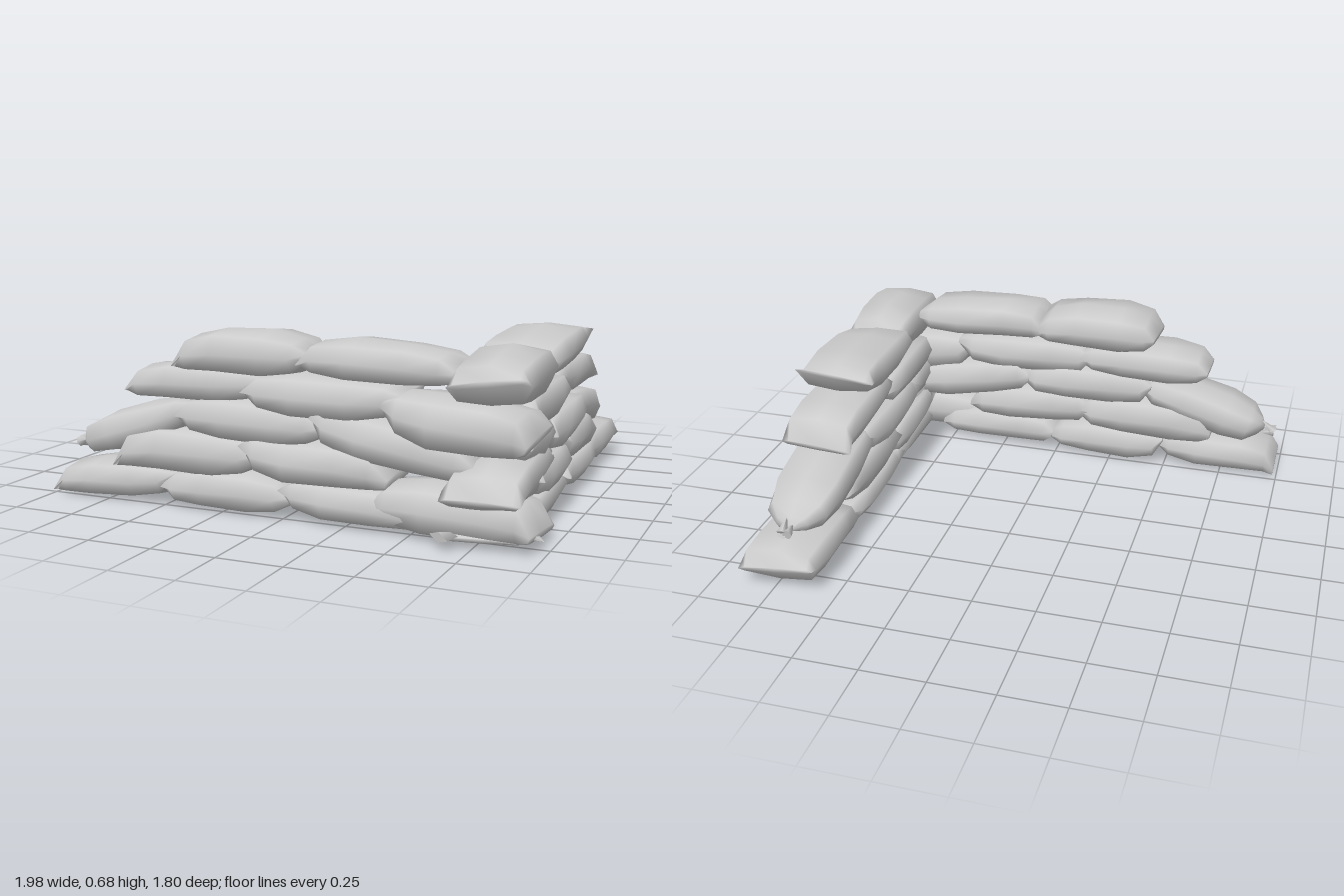
import * as THREE from 'three';

const SIDES = 8;
const material = new THREE.MeshStandardMaterial({ color: 0xcccccc, side: THREE.DoubleSide });

// profiles of half a bag: [distance from end, height, width]
const SEAM = [[0, 0.12, 0.98], [0.08, 0.8, 0.97], [0.3, 1, 1]];
const TUCKED = [[0, 0.24, 0.78], [0.11, 0.78, 0.94], [0.34, 1, 1]];
const TIED = [[0, 0.12, 0.1], [0.04, 0.45, 0.45], [0.13, 0.82, 0.84], [0.32, 1, 1]];

const power = (v, p) => Math.sign(v) * Math.abs(v) ** p;

// stuffed sack lofted along x; seamA / seamB lift the ends by a fraction of the height
function bagGeometry(length, width, height, seamA, seamB, tied, seed) {
  const rings = [];
  (tied ? TIED : SEAM).forEach(([t, h, w]) => rings.push([t - 0.5, h, w, seamA * (1 - h)]));
  [...TUCKED].reverse().forEach(([t, h, w]) => rings.push([0.5 - t, h, w, seamB * (1 - h)]));
  const pos = [], index = [];
  rings.forEach(([x, h, w, lift], i) => {
    // ends twist a little, the belly is lumpy
    const twist = 0.16 * (1 - h) * Math.sin(seed * 4.1 + (x > 0 ? 2 : 0));
    for (let j = 0; j < SIDES; j++) {
      const a = (j / SIDES) * Math.PI * 2;
      const lump = 1 + 0.06 * Math.sin(seed * 2.3 + i * 1.9 + j * 1.7);
      const z = power(Math.sin(a), 0.6) * w * 0.5 * width * (1 + (lump - 1) * 0.5);
      const y = (power(Math.cos(a), 0.65) * h * 0.5 * lump + lift) * height;
      pos.push(x * length, y + z * twist, z);
    }
  });
  for (let i = 0; i < rings.length - 1; i++) {
    for (let j = 0; j < SIDES; j++) {
      const a = i * SIDES + j, b = i * SIDES + (j + 1) % SIDES;
      index.push(a, b, a + SIDES, b, b + SIDES, a + SIDES);
    }
  }
  // close both ends
  const last = (rings.length - 1) * SIDES;
  for (let j = 1; j < SIDES - 1; j++) {
    index.push(0, j + 1, j, last, last + j, last + j + 1);
  }
  const g = new THREE.BufferGeometry();
  g.setAttribute('position', new THREE.Float32BufferAttribute(pos, 3));
  g.setIndex(index);
  g.computeVertexNormals();
  return g;
}

// frilled scrap of cloth beyond a tied neck
function addKnot(bag, length) {
  for (let i = 0; i < 3; i++) {
    const knot = new THREE.Mesh(new THREE.ConeGeometry(0.022, 0.07, 5), material);
    knot.name = 'knot';
    knot.position.set(-length / 2 - 0.012, (i - 1) * 0.016, (i % 2) * 0.02 - 0.01);
    knot.rotation.z = -Math.PI / 2 + (i - 1) * 0.45;
    bag.add(knot);
  }
}

function placeBag(a, b, width, height, seamA, seamB, tied, seed) {
  const d = b.clone().sub(a), length = d.length();
  d.normalize();
  const side = new THREE.Vector3().crossVectors(d, new THREE.Vector3(0, 1, 0)).normalize();
  const up = new THREE.Vector3().crossVectors(side, d);
  const bag = new THREE.Mesh(bagGeometry(length, width, height, seamA, seamB, tied, seed), material);
  bag.name = 'sandbag';
  bag.quaternion.setFromRotationMatrix(new THREE.Matrix4().makeBasis(d, up, side));
  bag.position.copy(a).add(b).multiplyScalar(0.5);
  if (tied) addKnot(bag, length);
  return bag;
}

// each bag: [from, y, across, to, y, across, width, height, seamFrom, seamTo, tied]
const FRONT = [
  [-0.985, 0.075, 0.645, -0.46, 0.085, 0.645, 0.30, 0.14, -0.4, 0.2],
  [-0.49, 0.08, 0.64, 0.03, 0.085, 0.64, 0.33, 0.15, 0.2, -0.1],
  [0.01, 0.09, 0.64, 0.55, 0.085, 0.67, 0.32, 0.14, 0.1, -0.35],
  [0.96, 0.10, 0.725, 0.36, 0.11, 0.68, 0.29, 0.18, -0.3, 0.0],
  [-0.70, 0.215, 0.63, -0.10, 0.22, 0.63, 0.34, 0.18, -0.3, 0.0],
  [-0.15, 0.225, 0.645, 0.41, 0.215, 0.645, 0.34, 0.165, 0.2, -0.3],
  [-0.925, 0.20, 0.615, -0.39, 0.365, 0.62, 0.29, 0.155, 0.0, 0.1, true],
  [-0.43, 0.355, 0.63, 0.16, 0.345, 0.63, 0.32, 0.165, 0.1, 0.0],
  [0.12, 0.36, 0.63, 0.73, 0.26, 0.65, 0.32, 0.17, 0.1, -0.1],
  [-0.67, 0.47, 0.615, -0.10, 0.475, 0.61, 0.28, 0.145, -0.15, 0.1],
  [-0.15, 0.46, 0.64, 0.46, 0.455, 0.63, 0.31, 0.16, 0.1, 0.2],
  [0.935, 0.385, 0.69, 0.40, 0.42, 0.66, 0.32, 0.19, -0.1, 0.25],
  [-0.43, 0.60, 0.64, 0.10, 0.60, 0.635, 0.33, 0.165, -0.2, -0.1],
  [0.07, 0.605, 0.635, 0.66, 0.585, 0.635, 0.30, 0.145, -0.2, -0.1],
];
const SIDE = [
  [0.84, 0.07, 0.78, 0.05, 0.08, 0.75, 0.31, 0.12, -0.3, 0.1],
  [0.09, 0.09, 0.74, -0.43, 0.085, 0.74, 0.33, 0.13, 0.2, 0.2],
  [-0.89, 0.10, 0.73, -0.37, 0.10, 0.73, 0.32, 0.15, 0.0, -0.2],
  [0.87, 0.20, 0.785, 0.27, 0.22, 0.755, 0.29, 0.16, -0.2, 0.1],
  [0.54, 0.175, 0.75, 0.04, 0.175, 0.75, 0.34, 0.16, 0.2, -0.1],
  [0.09, 0.215, 0.74, -0.45, 0.205, 0.74, 0.33, 0.17, 0.1, -0.2],
  [0.66, 0.325, 0.75, 0.27, 0.315, 0.75, 0.31, 0.16, 0.0, 0.0],
  [0.34, 0.305, 0.745, -0.23, 0.315, 0.745, 0.34, 0.17, 0.1, 0.2],
  [-0.77, 0.225, 0.715, -0.16, 0.335, 0.73, 0.29, 0.155, -0.1, 0.1, true],
  [0.59, 0.43, 0.745, 0.02, 0.43, 0.74, 0.32, 0.16, 0.1, 0.1],
  [-0.46, 0.455, 0.73, 0.08, 0.475, 0.73, 0.30, 0.15, -0.4, 0.0],
  [0.81, 0.55, 0.785, 0.28, 0.57, 0.765, 0.29, 0.18, 0.1, 0.0],
  [-0.25, 0.59, 0.73, 0.32, 0.575, 0.74, 0.33, 0.145, 0.2, -0.1],
];

export function createModel() {
  const model = new THREE.Group();
  model.name = 'sandbagWall';

  const walls = [
    ['frontWall', FRONT, (along, y, across) => new THREE.Vector3(along, y, across)],
    ['sideWall', SIDE, (along, y, across) => new THREE.Vector3(across, y, along)],
  ];
  walls.forEach(([name, rows, point], w) => {
    const wall = new THREE.Group();
    wall.name = name;
    rows.forEach(([from, y0, c0, to, y1, c1, ...shape], i) => {
      const [width, height, seamA, seamB, tied = false] = shape;
      wall.add(placeBag(point(from, y0, c0), point(to, y1, c1),
        width, height, seamA, seamB, tied, i + w * 20));
    });
    model.add(wall);
  });

  // loose cloth corners sticking out at the foot of the outer corner
  [[0.945, 0.05, 0.765, -0.9], [0.68, 0.045, 0.825, -2.5]].forEach(([x, y, z, turn]) => {
    const flap = new THREE.Mesh(new THREE.ConeGeometry(0.055, 0.12, 4), material);
    flap.name = 'clothCorner';
    flap.scale.z = 0.35;
    flap.rotation.set(Math.PI / 2, 0, turn);
    flap.position.set(x, y, z);
    model.add(flap);
  });
  return model;
}
